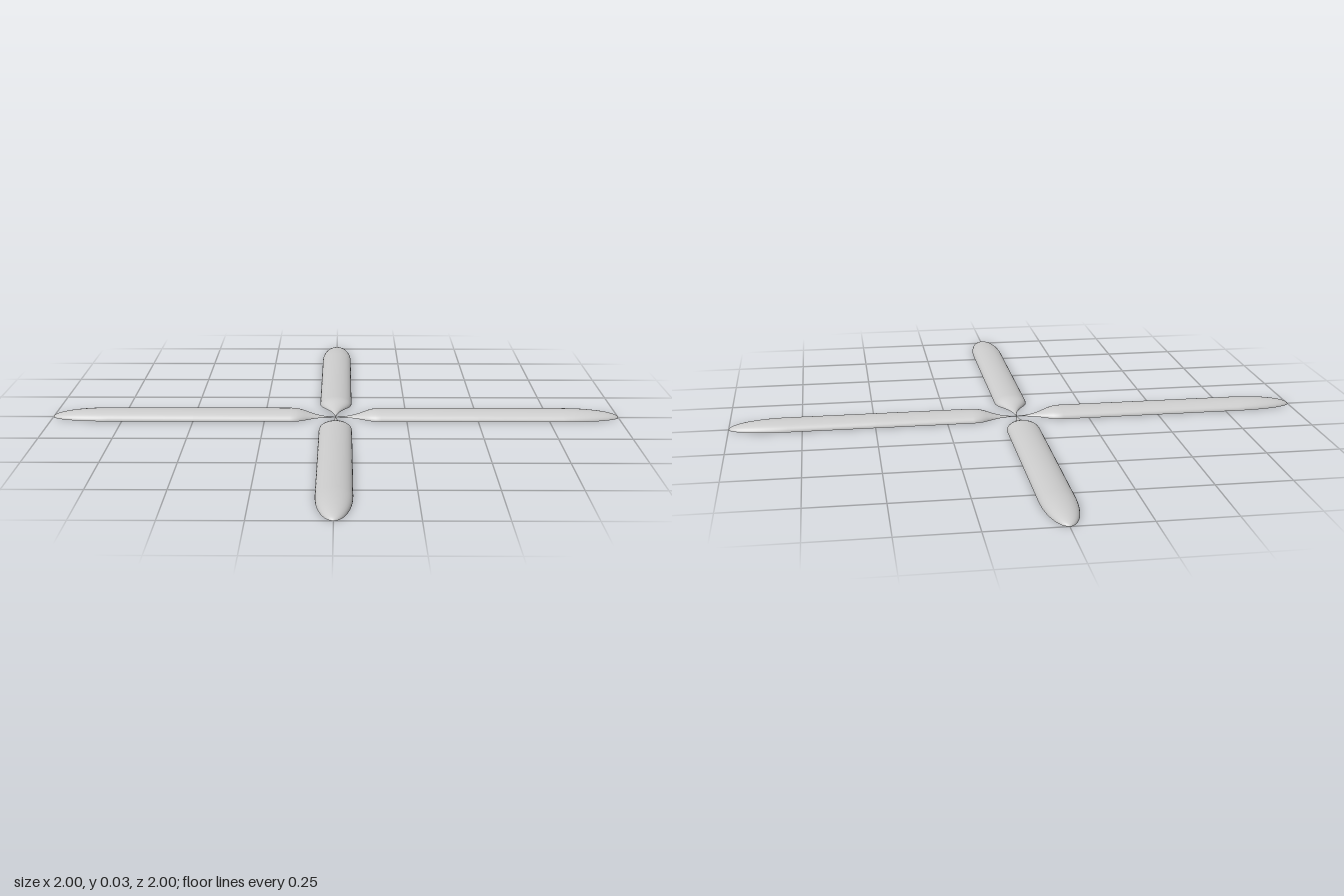
import * as THREE from 'three';

// Blade half-width against distance from the centre: thin root, straight body, rounded tip
function bladeOutline() {
  const stations = [
    [0, 0.001], [0.015, 0.0025], [0.03, 0.005], [0.05, 0.01], [0.07, 0.018], [0.09, 0.029],
    [0.11, 0.042], [0.125, 0.05], [0.14, 0.055], [0.16, 0.057], [0.5, 0.057],
  ];
  const tipSteps = 14;
  for (let i = 0; i <= tipSteps; i++) {
    const t = (i / tipSteps) * Math.PI / 2;
    stations.push([0.8 + 0.2 * Math.sin(t), Math.max(0.0005, 0.057 * Math.cos(t))]);
  }
  return stations;
}

// Open arched shell, lofted from half-ellipse sections along +x
function bladeGeometry() {
  const stations = bladeOutline();
  const segments = 20;
  const positions = [];
  const indices = [];
  stations.forEach(([x, halfWidth], i) => {
    const height = halfWidth * 0.03 / 0.057;
    for (let j = 0; j <= segments; j++) {
      const a = (j / segments) * Math.PI;
      positions.push(x, height * Math.sin(a), halfWidth * Math.cos(a));
      if (i < stations.length - 1 && j < segments) {
        const p = i * (segments + 1) + j;
        const q = p + segments + 1;
        indices.push(p, q, p + 1, q, q + 1, p + 1);
      }
    }
  });
  const geometry = new THREE.BufferGeometry();
  geometry.setAttribute('position', new THREE.Float32BufferAttribute(positions, 3));
  geometry.setIndex(indices);
  geometry.computeVertexNormals();
  return geometry;
}

export function createModel() {
  const model = new THREE.Group();
  model.name = 'fourBladeRotor';
  const lightGrey = new THREE.MeshStandardMaterial({ color: 0xcccccc, side: THREE.DoubleSide });
  lightGrey.name = 'light grey';

  // Four equal blades meeting at the centre
  const geometry = bladeGeometry();
  ['leftBlade', 'backBlade', 'rightBlade', 'frontBlade'].forEach((name, i) => {
    const blade = new THREE.Mesh(geometry, lightGrey);
    blade.name = name;
    blade.rotation.y = i * Math.PI / 2;
    model.add(blade);
  });
  return model;
}
